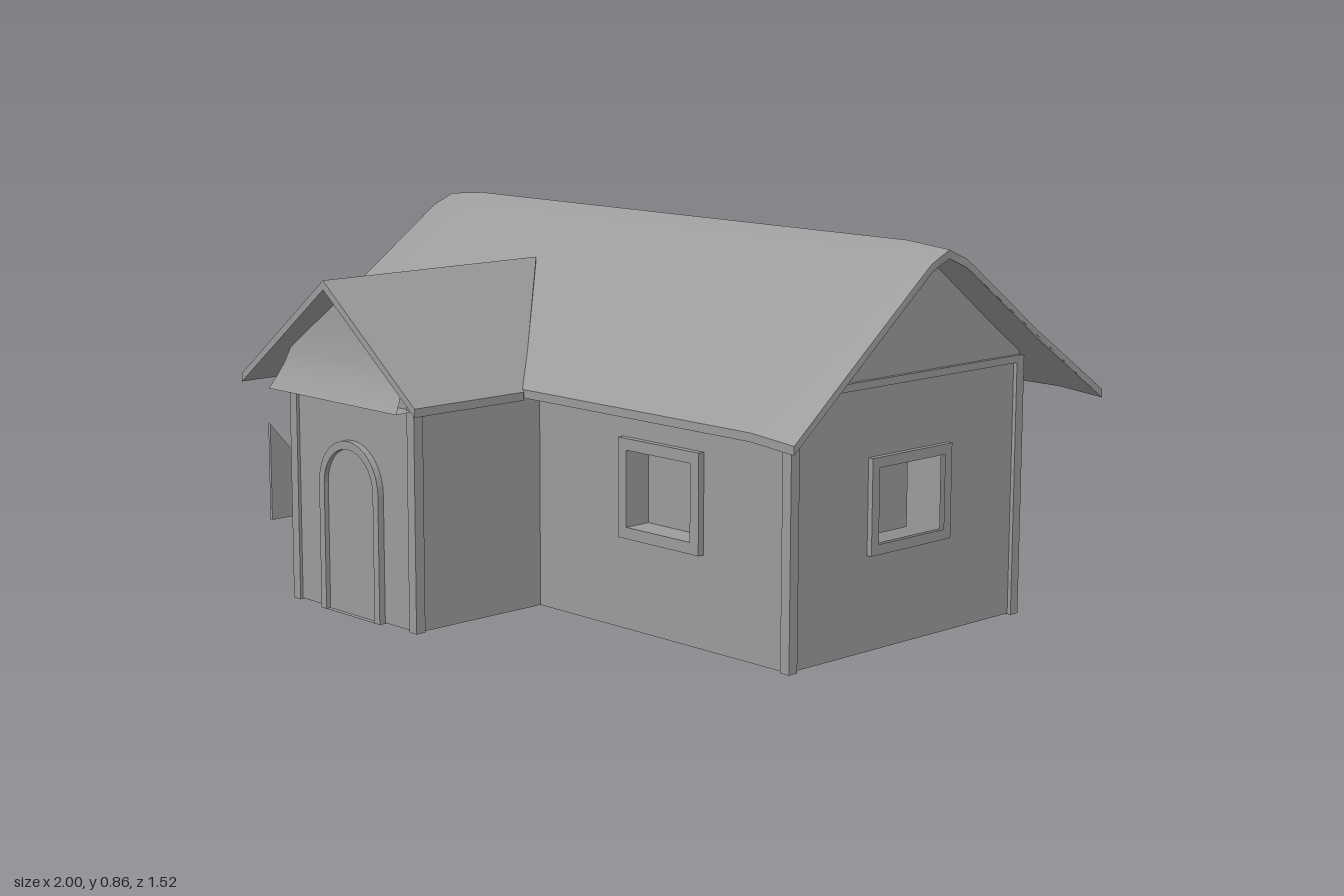
import * as THREE from 'three';
import { toCreasedNormals } from 'three/addons/utils/BufferGeometryUtils.js';

const mat = new THREE.MeshStandardMaterial({ color: 0x9b9b9b });
const thin = new THREE.MeshStandardMaterial({ color: 0x9b9b9b, side: THREE.DoubleSide });

export function createModel() {
  const house = new THREE.Group();

  const add = (name, geo, x = 0, y = 0, z = 0, m = mat) => {
    const mesh = new THREE.Mesh(geo, m);
    mesh.name = name;
    mesh.position.set(x, y, z);
    house.add(mesh);
  };
  // box given by its min and max corners
  const box = (name, x0, x1, y0, y1, z0, z1) =>
    add(name, new THREE.BoxGeometry(x1 - x0, y1 - y0, z1 - z0), (x0 + x1) / 2, (y0 + y1) / 2, (z0 + z1) / 2);
  const shapeOf = (pts) => new THREE.Shape(pts.map((p) => new THREE.Vector2(p[0], p[1])));
  const rect = (a, b, c, d) => [[a, c], [b, c], [b, d], [a, d]];
  const extrude = (pts, depth, hole, steps = 1) => {
    const s = shapeOf(pts);
    if (hole) s.holes.push(shapeOf(hole));
    return new THREE.ExtrudeGeometry(s, { depth, steps, bevelEnabled: false });
  };
  // outline in (z, y), extruded along x
  const extrudeX = (pts, depth, hole, steps) => {
    const flip = (a) => a.map(([z, y]) => [-z, y]);
    return extrude(flip(pts), depth, hole && flip(hole), steps).rotateY(Math.PI / 2);
  };
  const indexed = (verts, faces, crease) => {
    const g = new THREE.BufferGeometry();
    g.setAttribute('position', new THREE.Float32BufferAttribute(verts, 3));
    g.setIndex(faces);
    return toCreasedNormals(g, crease);
  };
  const rod = (name, a, b, r) =>
    add(name, new THREE.TubeGeometry(new THREE.LineCurve3(new THREE.Vector3(...a), new THREE.Vector3(...b)), 1, r, 6));

  // Main walls, with window openings in the front and the +x gable
  const gable = [[0.34, 0.02], [0.34, 0.594], [0.045, 0.817], [-0.015, 0.843], [-0.075, 0.817], [-0.37, 0.598], [-0.37, 0.02]];
  const frontHole = rect(0.42, 0.61, 0.245, 0.41);
  const sideHole = rect(-0.118, 0.086, 0.245, 0.405);
  add('frontWall', extrude(rect(-0.49, 0.875, 0.02, 0.59), 0.05, frontHole), 0, 0, 0.29);
  add('gableWallLeft', extrudeX(gable, 0.1, sideHole), 0.775);
  add('gableWallRight', extrudeX(gable, 0.05), -0.488);
  box('backWall', -0.488, 0.875, 0.02, 0.59, -0.37, -0.32);
  box('floor', -0.485, 0.872, 0.02, 0.04, -0.365, 0.335);
  for (const x of [-0.494, 0.87]) box('gableTrim', x, x + 0.014, 0.572, 0.588, -0.37, 0.34);
  for (const x of [-0.485, 0.872])
    for (const z of [-0.364, 0.334]) box('cornerPost', x - 0.012, x + 0.012, 0.018, 0.585, z - 0.012, z + 0.012);

  // Windows
  add('frontWindowFrame', extrude(rect(0.395, 0.635, 0.22, 0.435), 0.02, frontHole), 0, 0, 0.335);
  add('sideWindowFrame', extrudeX(rect(-0.14, 0.108, 0.223, 0.427), 0.02, sideHole), 0.867);
  box('frontPane', 0.4, 0.63, 0.23, 0.42, 0.28, 0.29);
  box('sidePane', 0.765, 0.775, 0.23, 0.42, -0.13, 0.1);

  // Main roof: rounded ridge, ends flaring out toward the eaves and drooping slightly
  const top = [[0.46, 0.525], [0.25, 0.68], [0.07, 0.814], [0.04, 0.836], [-0.015, 0.86],
    [-0.07, 0.836], [-0.1, 0.814], [-0.29, 0.67], [-0.5, 0.522]];
  const under = top.map(([z, y]) => [z, y - 0.018]).reverse();
  const roofGeo = extrudeX([...top, ...under], 1, null, 14);
  const rp = roofGeo.attributes.position;
  for (let i = 0; i < rp.count; i++) {
    const t = rp.getX(i);
    const k = Math.pow(Math.abs(rp.getZ(i) + 0.015) / 0.48, 1.3);
    const end = Math.max(0, Math.abs(2 * t - 1) - 0.857) / 0.143;
    rp.setXYZ(i, THREE.MathUtils.lerp(-0.59 - 0.022 * k, 0.973 + 0.025 * k, t), rp.getY(i) - 0.01 * end, rp.getZ(i));
  }
  add('mainRoof', toCreasedNormals(roofGeo, 0.8));

  // Entrance wing
  const cx = -0.084;
  add('porchWalls', extrude([[-0.295, 0.02], [0.13, 0.02], [0.13, 0.56], [cx, 0.73], [-0.295, 0.56]], 0.365), 0, 0, 0.32);
  for (const x of [-0.287, 0.122]) box('porchCorner', x - 0.012, x + 0.012, 0.018, 0.54, 0.668, 0.692);
  const porchRoof = extrude([[-0.302, -0.235], [0, 0], [0.302, -0.235], [0.302, -0.253], [0, -0.02], [-0.302, -0.253]], 1);
  // back edge follows the slope of the main roof
  const pp = porchRoof.attributes.position;
  for (let i = 0; i < pp.count; i++) pp.setZ(i, pp.getZ(i) > 0.5 ? 0.757 : 0.16 + Math.abs(pp.getX(i)));
  porchRoof.computeVertexNormals();
  add('porchRoof', porchRoof, cx, 0.755, 0);

  // Flared gable cladding: rows of [y, half width, z]
  const rows = [[0.728, 0.002, 0.69], [0.65, 0.11, 0.693], [0.585, 0.195, 0.702], [0.55, 0.206, 0.712],
    [0.52, 0.215, 0.727], [0.495, 0.223, 0.742], [0.495, 0.212, 0.685]];
  const verts = [], idx = [];
  rows.forEach(([y, w, z], i) => {
    verts.push(cx - w, y, z, cx + w, y, z);
    if (i) idx.push(2 * i - 2, 2 * i, 2 * i - 1, 2 * i, 2 * i + 1, 2 * i - 1);
  });
  add('gableCladding', indexed(verts, idx, 0.5), 0, 0, 0, thin);

  // Arched door and its frame
  const arch = (r, base) => {
    const p = [[-r, base], [r, base]];
    for (let i = 0; i <= 16; i++) p.push([r * Math.cos((i * Math.PI) / 16), 0.3 + r * Math.sin((i * Math.PI) / 16)]);
    return p;
  };
  add('doorFrame', extrude(arch(0.103, 0.018), 0.02, arch(0.085, 0.0185)), cx, 0, 0.68);
  add('door', extrude(arch(0.085, 0.018), 0.012), cx, 0, 0.677);

  // Lean-to roof wrapping the back corner, smooth across the hip
  const outline = [[-1, 0.38, -0.05], [-1, 0.38, -0.715], [-0.965, 0.386, -0.735], [0.045, 0.393, -0.735],
    [0.045, 0.55, -0.37], [-0.49, 0.55, -0.37], [-0.49, 0.55, -0.05]];
  const n = outline.length;
  const faces = [];
  for (const [a, b, c] of [[0, 6, 5], [0, 5, 1], [1, 5, 2], [2, 5, 4], [2, 4, 3]])
    faces.push(a, b, c, a + n, c + n, b + n);
  for (let b = 0; b < n; b++) {
    const a = (b + 1) % n;
    faces.push(a + n, b + n, b, a + n, b, a);
  }
  add('leanToRoof', indexed([...outline.flat(), ...outline.map(([x, y, z]) => [x, y - 0.015, z]).flat()], faces, 0.8));

  // Lean-to walls, with a broken yard wall running forward
  box('leanToBackWall', -0.97, 0.04, 0.02, 0.376, -0.73, -0.72);
  add('leanToEndWall', extrudeX([[-0.73, 0.02], [-0.37, 0.02], [-0.37, 0.535], [-0.73, 0.376]], 0.01), 0.03);
  add('yardWall', extrudeX([[-0.73, 0.02], [0.27, 0.02], [0.27, 0.265], [0.17, 0.15], [-0.05, 0.23],
    [-0.05, 0.37], [-0.73, 0.37]], 0.008), -0.974);
  box('leanToPost', -0.48, -0.46, 0.02, 0.376, -0.738, -0.72);
  box('leanToPost', 0.026, 0.044, 0.02, 0.376, -0.734, -0.715);

  // Buckets
  const bucket = (x, z, r, h) => add('bucket', new THREE.LatheGeometry(
    [[0, 0], [r * 0.9, 0], [r, h], [r * 0.85, h], [r * 0.75, h * 0.3], [0, h * 0.3]].map((p) => new THREE.Vector2(...p)), 16), x, 0, z);
  bucket(0.17, -0.417, 0.039, 0.08);
  bucket(-0.912, -0.55, 0.035, 0.065);

  // Planks leaning on the walls
  const plank = (x0, x1, y1, z0, z1) =>
    add('leaningPlank', extrude([[x0, 0.02], [x0 + 0.012, 0.02], [x1 + 0.012, y1], [x1, y1]], z1 - z0), 0, 0, z0);
  plank(0.12, 0.045, 0.42, -0.475, -0.443);
  plank(0.13, 0.045, 0.35, -0.537, -0.5);
  box('plankFoot', 0.115, 0.14, 0, 0.02, -0.55, -0.49);
  plank(-0.562, -0.506, 0.35, -0.14, -0.105);
  plank(-0.55, -0.504, 0.3, -0.095, -0.06);

  // Bell-shaped lamps: one on the back wall, one on the line
  const bell = (x, y, z, s) => add('lamp', new THREE.LatheGeometry(
    [[0, 0], [0.027, 0], [0.027, 0.03], [0.019, 0.058], [0.008, 0.07], [0, 0.073]].map(([a, b]) => new THREE.Vector2(a * s, b * s)), 14), x, y, z);
  bell(-0.13, 0.295, -0.733, 1);
  bell(-0.628, 0.253, -0.3, 0.95);

  // Sagging line with hanging strips
  const line = new THREE.QuadraticBezierCurve3(new THREE.Vector3(-0.97, 0.345, -0.3),
    new THREE.Vector3(-0.73, 0.295, -0.3), new THREE.Vector3(-0.49, 0.345, -0.3));
  add('hangingLine', new THREE.TubeGeometry(line, 16, 0.002, 5));
  for (const [x, y] of [[-0.78, 0.24], [-0.71, 0.245]]) box('hangingStrip', x - 0.006, x + 0.006, y, 0.32, -0.303, -0.297);

  // Tools hung on the back wall: shovel above, rake below
  rod('shovelHandle', [0.71, 0.325, -0.38], [0.33, 0.325, -0.38], 0.007);
  rod('shovelGrip', [0.71, 0.3, -0.38], [0.71, 0.35, -0.38], 0.007);
  add('shovelBlade', extrude([[0.34, 0.365], [0.34, 0.285], [0.26, 0.285], [0.22, 0.305], [0.205, 0.325],
    [0.22, 0.345], [0.26, 0.365]], 0.008), 0, 0, -0.386);
  rod('rakeHandle', [0.71, 0.21, -0.38], [0.25, 0.21, -0.38], 0.007);
  box('rakeHead', 0.705, 0.717, 0.15, 0.278, -0.385, -0.375);
  for (let i = 0; i < 8; i++) rod('rakeTooth', [0.711, 0.155 + i * 0.017, -0.38], [0.73, 0.155 + i * 0.017, -0.388], 0.003);
  for (const x of [0.4, 0.62])
    for (const y of [0.2, 0.316]) box('toolPeg', x - 0.006, x + 0.006, y - 0.008, y + 0.004, -0.39, -0.37);

  return house;
}
